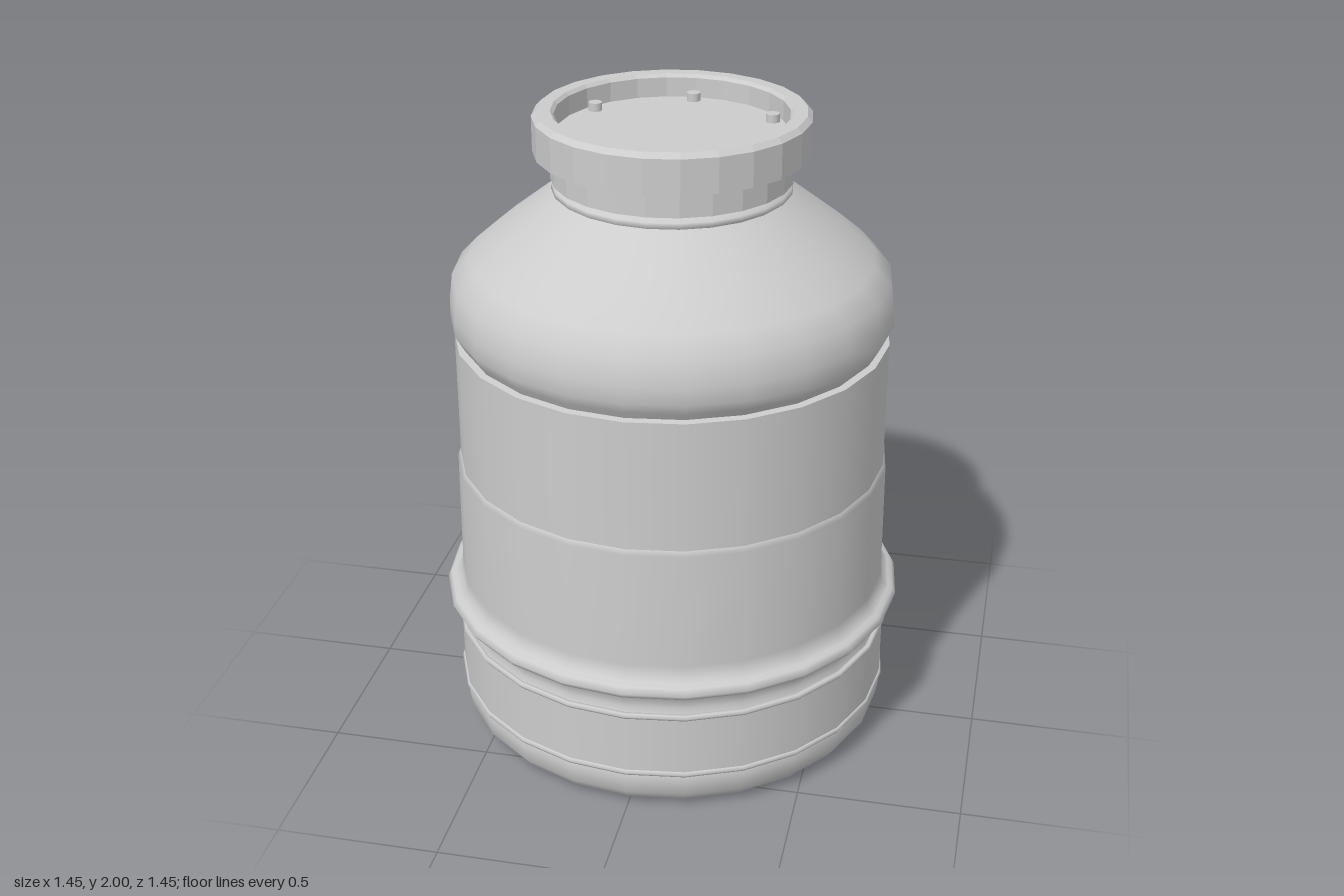
import * as THREE from 'three';

const SIDES = 24;

export function createModel() {
  const model = new THREE.Group();
  const shell = new THREE.MeshStandardMaterial({ color: 0xcccccc });
  shell.name = 'light grey plastic';

  const add = (name, geometry) => {
    const mesh = new THREE.Mesh(geometry, shell);
    mesh.name = name;
    model.add(mesh);
    return mesh;
  };
  // Profiles are [radius, height], running upwards on the outside
  const lathe = (profile) =>
    new THREE.LatheGeometry(profile.map(([r, y]) => new THREE.Vector2(r, y)), SIDES);
  const turned = (name, profile) => add(name, lathe(profile));
  const faceted = (name, profile) => {
    const g = lathe(profile).toNonIndexed();
    g.computeVertexNormals();
    add(name, g);
  };

  // Base: flat foot and rounded lower edge
  faceted('foot', [[0, 0], [0.515, 0], [0.515, 0.04]]);
  turned('baseEdge', [
    [0.5, 0.03], [0.56, 0.015], [0.62, 0.012], [0.655, 0.025], [0.68, 0.06], [0.688, 0.11], [0.68, 0.135],
  ]);

  // Lower band between two thin beads
  turned('lowerBand', [[0.688, 0.14], [0.688, 0.34]]);
  for (const y of [0.14, 0.345]) {
    const bead = new THREE.TorusGeometry(0.685, 0.01, 6, SIDES);
    bead.rotateX(Math.PI / 2);
    add('thinBead', bead).position.y = y;
  }

  // Recess and the wide bumper ring
  turned('recess', [[0.68, 0.35], [0.672, 0.37], [0.675, 0.4], [0.695, 0.43]]);
  turned('bumperRing', [
    [0.69, 0.425], [0.715, 0.43], [0.726, 0.447], [0.715, 0.466], [0.69, 0.475], [0.675, 0.475],
  ]);

  // Main wall: thicker lower sleeve and plain upper wall
  turned('sleeve', [[0.7, 0.472], [0.682, 0.485], [0.676, 0.52], [0.673, 0.89], [0.664, 0.905]]);
  turned('upperWall', [[0.664, 0.9], [0.664, 1.31]]);
  faceted('wallLedge', [[0.664, 1.31], [0.635, 1.313]]);

  // Domed shoulder
  turned('shoulder', [
    [0.64, 1.31], [0.655, 1.335], [0.674, 1.37], [0.672, 1.42], [0.662, 1.5],
    [0.61, 1.555], [0.54, 1.615], [0.45, 1.685], [0.385, 1.735], [0.35, 1.762],
  ]);
  turned('collar', [[0.345, 1.755], [0.358, 1.765], [0.356, 1.78], [0.335, 1.792], [0.31, 1.795]]);

  // Neck and overhanging cap with a sunken lid
  faceted('neck', [[0.3, 1.797], [0.36, 1.797], [0.36, 1.89]]);
  faceted('cap', [
    [0.355, 1.88], [0.41, 1.88], [0.41, 1.985], [0.395, 2], [0.355, 2], [0.345, 1.99], [0.345, 1.93],
  ]);
  faceted('lid', [[0.347, 1.93], [0, 1.93]]);

  // Five lid studs; the sixth place is empty
  for (const step of [0, 1, 2, 3, 4]) {
    const a = Math.PI - step * Math.PI / 3;
    const stud = add('lidStud', new THREE.CylinderGeometry(0.021, 0.021, 0.03, 12));
    stud.position.set(Math.sin(a) * 0.312, 1.94, Math.cos(a) * 0.312);
  }
  // Move the last stud to the mirrored rear place
  model.children[model.children.length - 1].position.set(-0.27, 1.94, -0.156);
  return model;
}
